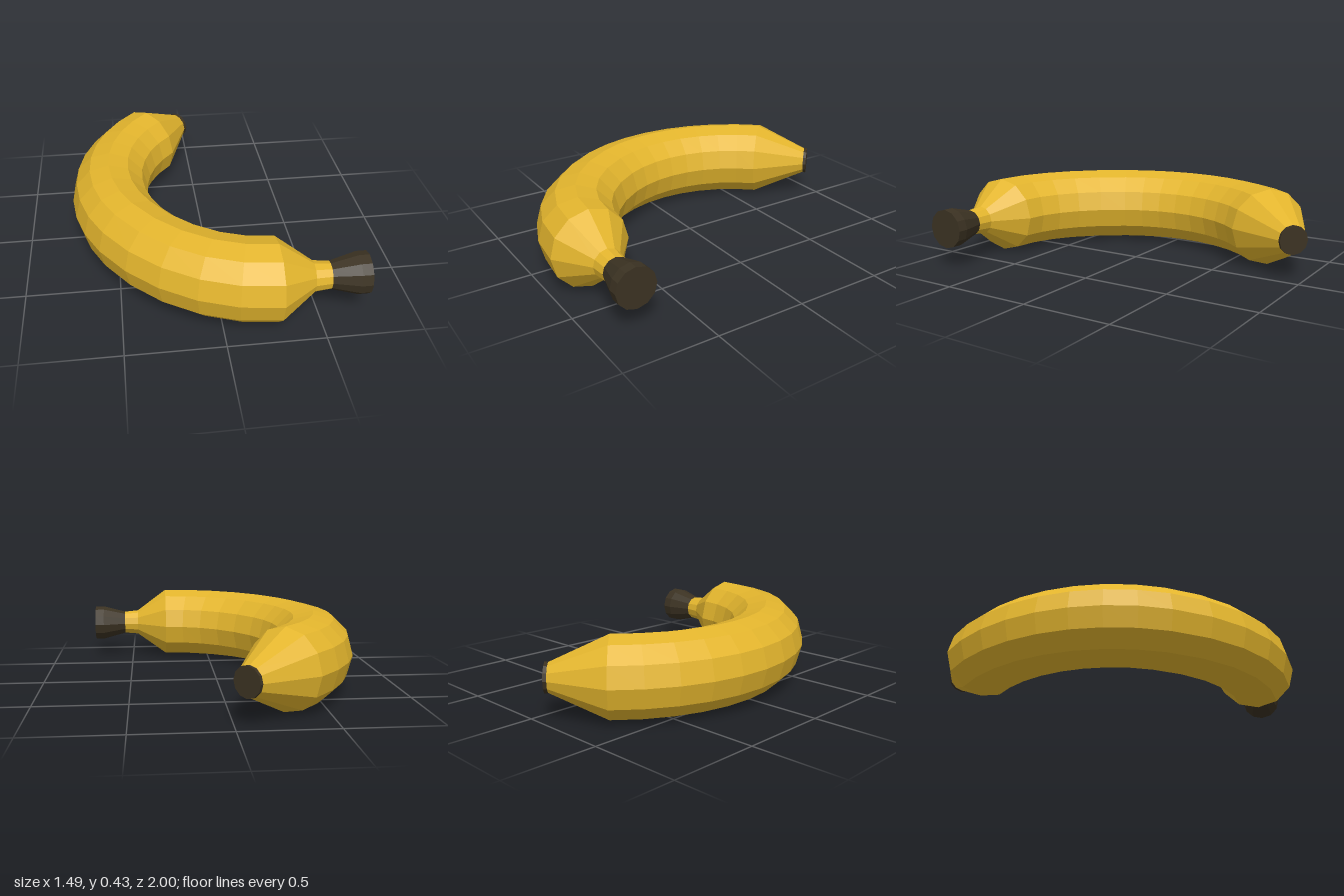
import * as THREE from 'three';

const SIDES = 12;
const HEIGHT = 0.218; // height of the centre line, equal to the body radius
const BODY_R = 0.217;

// One cross-section: centre (x, z), travel direction (tx, tz) and radius
const ring = (x, z, tx, tz, r) => {
  const l = Math.hypot(tx, tz);
  return { x, z, nx: tz / l, nz: -tx / l, r };
};

// Skin a list of rings, optionally closing the first and last
function loft(rings, capStart, capEnd) {
  const pos = [];
  const idx = [];
  for (const { x, z, nx, nz, r } of rings) {
    for (let j = 0; j < SIDES; j++) {
      const a = (j / SIDES) * Math.PI * 2;
      const c = r * Math.cos(a);
      pos.push(x + c * nx, HEIGHT + r * Math.sin(a), z + c * nz);
    }
  }
  const last = (rings.length - 1) * SIDES;
  for (let j = 0; j < SIDES; j++) {
    const k = (j + 1) % SIDES;
    for (let o = 0; o < last; o += SIDES) {
      idx.push(o + j, o + k, o + SIDES + k, o + j, o + SIDES + k, o + SIDES + j);
    }
    if (j > 0 && j < SIDES - 1) {
      if (capStart) idx.push(0, k, j);
      if (capEnd) idx.push(last, last + j, last + k);
    }
  }
  const geo = new THREE.BufferGeometry();
  geo.setAttribute('position', new THREE.Float32BufferAttribute(pos, 3));
  geo.setIndex(idx);
  const flat = geo.toNonIndexed();
  flat.computeVertexNormals();
  return flat;
}

export function createModel() {
  const group = new THREE.Group();
  const peelMat = new THREE.MeshStandardMaterial({ color: 0xe3b52d, flatShading: true });
  const darkMat = new THREE.MeshStandardMaterial({ color: 0x3b3222, flatShading: true });
  const add = (name, geo, mat) => {
    const mesh = new THREE.Mesh(geo, mat);
    mesh.name = name;
    group.add(mesh);
  };

  // Neck narrowing into the stem
  const peel = [ring(0.55, 0.78, -1, 0, 0.072), ring(0.465, 0.78, -1, 0, 0.08)];

  // Front bend, from the stem shoulder to the middle of the body
  const R = 0.865, cx = 0.338, cz = -0.1, a0 = Math.PI / 6;
  const mid = new THREE.Vector2(cx - R * Math.cos(a0), cz + R * Math.sin(a0));
  const bend = new THREE.CubicBezierCurve(
    new THREE.Vector2(0.28, 0.78),
    new THREE.Vector2(0.01, 0.78),
    new THREE.Vector2(mid.x + 0.16, mid.y + 0.277),
    mid
  );
  for (let i = 0; i < 5; i++) {
    const p = bend.getPoint(i / 5);
    const t = bend.getTangent(i / 5);
    peel.push(ring(p.x, p.y, t.x, t.y, BODY_R));
  }

  // Rear bend, a circular arc
  for (let i = 0; i <= 8; i++) {
    const a = a0 - (i / 8) * (a0 + Math.PI / 4);
    const c = Math.cos(a), s = Math.sin(a);
    peel.push(ring(cx - R * c, cz + R * s, -s, -c, BODY_R));
  }

  // Taper to the blossom end
  peel.push(ring(-0.068, -0.932, 1, -1, 0.078));
  add('peel', loft(peel, false, false), peelMat);

  // Flared dark stem end
  add('stem', loft([
    ring(0.745, 0.78, -1, 0, 0.11),
    ring(0.69, 0.78, -1, 0, 0.11),
    ring(0.55, 0.78, -1, 0, 0.072),
  ], true, true), darkMat);

  // Thin dark disc at the blossom end
  add('tip', loft([
    ring(-0.068, -0.932, 1, -1, 0.08),
    ring(-0.055, -0.945, 1, -1, 0.08),
  ], true, true), darkMat);

  return group;
}
